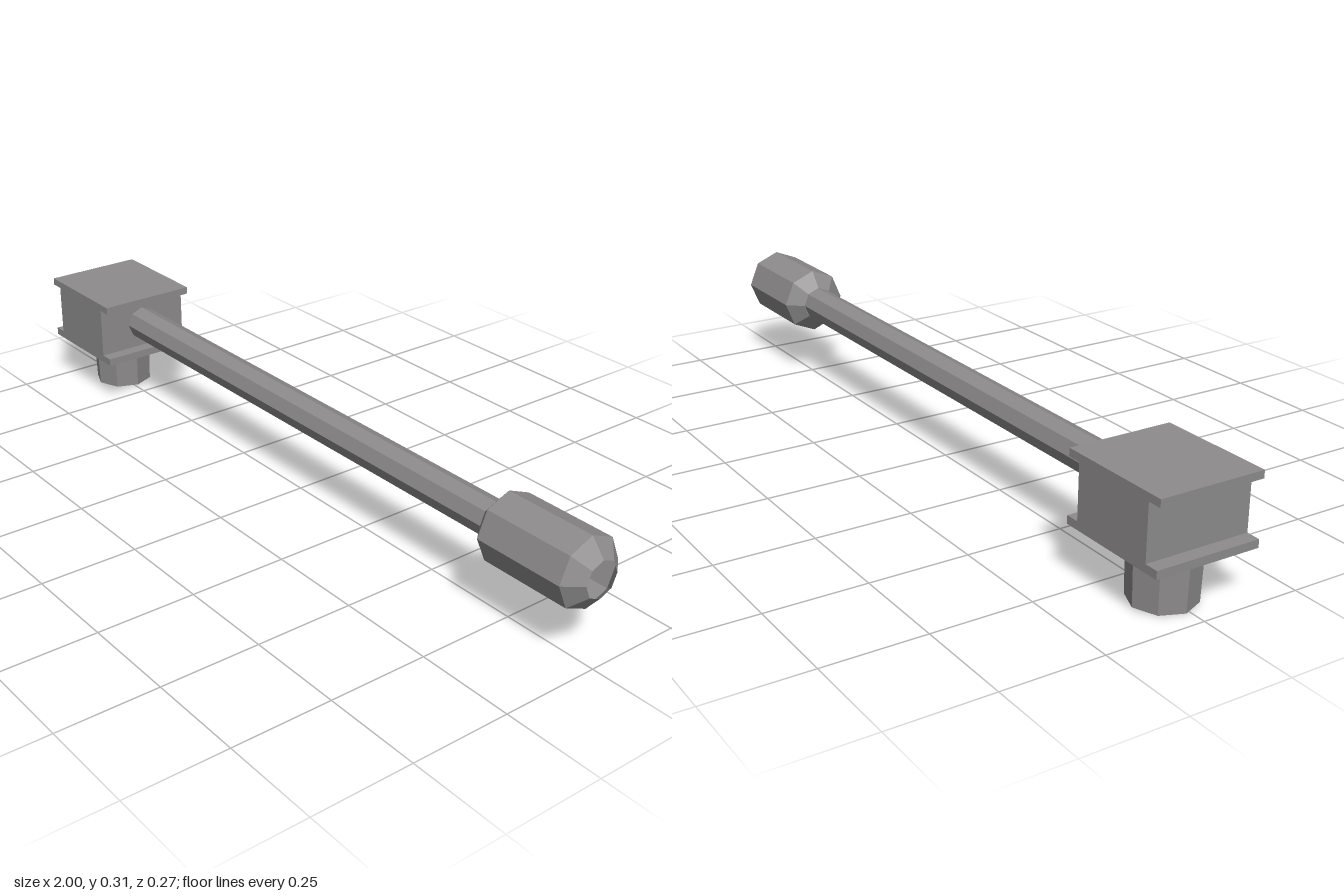
import * as THREE from 'three';

function makeMaterial(name, color) {
  const material = new THREE.MeshStandardMaterial({ color, flatShading: true, side: THREE.DoubleSide });
  material.name = name;
  return material;
}

const steel = makeMaterial('steel', 0x8d8b8b);
const darkUnderside = makeMaterial('darkUnderside', 0x454344);

const SIDES = 8;
const AXIS_Y = 0.22;
const HEAD_X = -0.852;
const HEAD_DEPTH = 0.266;

function part(name, geometry, material = steel) {
  const mesh = new THREE.Mesh(geometry, material);
  mesh.name = name;
  return mesh;
}

// Box of the head between two heights
function headBox(name, width, bottom, top, material) {
  const mesh = part(name, new THREE.BoxGeometry(width, top - bottom, HEAD_DEPTH), material);
  mesh.position.set(HEAD_X, (bottom + top) / 2, 0);
  return mesh;
}

// Open octagonal tube along x from [x, radius] rings
function tubeAlongX(name, rings) {
  const points = rings.map(([x, r]) => new THREE.Vector2(r, x));
  const geometry = new THREE.LatheGeometry(points, SIDES);
  geometry.rotateZ(-Math.PI / 2);
  geometry.translate(0, AXIS_Y, 0);
  return part(name, geometry);
}

export function createModel() {
  const model = new THREE.Group();
  model.name = 'leverHandle';

  // Head block: core between two flanges with dark undersides
  const flangeFaces = [steel, steel, steel, darkUnderside, steel, steel];
  model.add(headBox('headCore', 0.226, 0.151, 0.286, steel));
  model.add(headBox('lowerFlange', 0.296, 0.131, 0.151, flangeFaces));
  model.add(headBox('upperFlange', 0.296, 0.286, 0.305, flangeFaces));

  // Hollow tapered socket under the head, slightly off centre
  const socket = part('socket', new THREE.CylinderGeometry(0.083, 0.079, 0.131, SIDES, 1, true));
  socket.position.set(-0.877, 0.0655, -0.01);
  model.add(socket);

  // Shaft and chamfered hollow grip
  model.add(tubeAlongX('shaft', [[-0.739, 0.045], [0.692, 0.045]]));
  model.add(tubeAlongX('grip', [[0.692, 0.046], [0.727, 0.088], [0.965, 0.088], [1, 0.046]]));

  return model;
}
